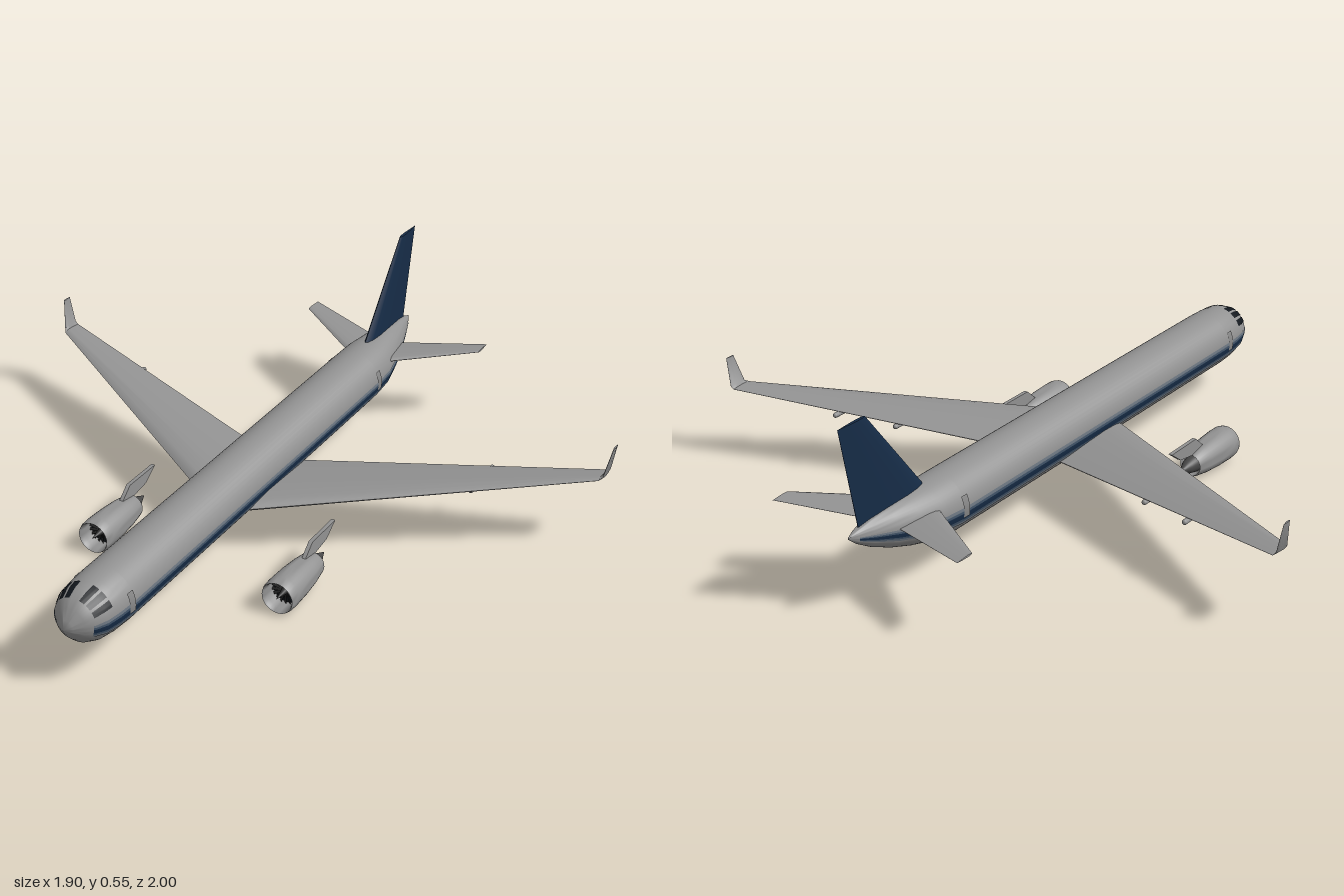
import * as THREE from 'three';
import { toCreasedNormals } from 'three/addons/utils/BufferGeometryUtils.js';

const V = (x, y, z) => new THREE.Vector3(x, y, z);
const mat = (color, side = THREE.FrontSide) => new THREE.MeshStandardMaterial({ color, side });
const grey = mat(0x929292);
const doorGrey = mat(0x868686, THREE.DoubleSide);
const navy = mat(0x162c47);
const navyPanel = mat(0x162c47, THREE.DoubleSide);
const midPanel = mat(0x43566b, THREE.DoubleSide);
const palePanel = mat(0x707a85, THREE.DoubleSide);
const darkPanel = mat(0x12171d, THREE.DoubleSide);
const dark = mat(0x2a2a2a);
const exhaustGrey = mat(0x484848);

function add(parent, name, geometry, material = grey) {
  const mesh = new THREE.Mesh(geometry, material);
  mesh.name = name;
  parent.add(mesh);
  return mesh;
}

// Skin over a row of point loops; closed lofts get end caps and face outward
function loft(sections, closed = true) {
  const n = sections[0].length, m = sections.length, pts = sections.flat();
  const tris = [];
  for (let i = 0; i < m - 1; i++) {
    for (let j = 0; j < (closed ? n : n - 1); j++) {
      const k = (j + 1) % n, a = i * n + j, b = i * n + k;
      tris.push([a, b, a + n], [b, b + n, a + n]);
    }
  }
  if (closed) {
    const e = (m - 1) * n;
    for (let j = 1; j < n - 1; j++) tris.push([0, j + 1, j], [e, e + j, e + j + 1]);
    const cross = V(0, 0, 0);
    const volume = tris.reduce((sum, [a, b, c]) => sum + pts[a].dot(cross.crossVectors(pts[b], pts[c])), 0);
    if (volume < 0) tris.forEach((t) => t.reverse());
  }
  const geometry = new THREE.BufferGeometry().setFromPoints(pts);
  geometry.setIndex(tris.flat());
  return toCreasedNormals(geometry, 0.75);
}

// Fuselage stations: z, centre height, half width, half height
const stations = [
  [0.998, 0.19, 0.003, 0.003], [0.985, 0.19, 0.022, 0.022], [0.965, 0.19, 0.047, 0.047],
  [0.945, 0.19, 0.066, 0.066], [0.91, 0.189, 0.08, 0.08], [0.86, 0.188, 0.087, 0.087],
  [0.8, 0.187, 0.09, 0.089], [-0.6, 0.187, 0.09, 0.089], [-0.68, 0.191, 0.087, 0.085],
  [-0.76, 0.2, 0.071, 0.074], [-0.83, 0.21, 0.053, 0.06], [-0.9, 0.222, 0.031, 0.04],
  [-0.95, 0.232, 0.014, 0.02], [-0.978, 0.238, 0.002, 0.003],
];

// Point on the fuselage skin; angle runs from the top toward the +x side
function skin(z, angle, offset = 0) {
  let i = 0;
  while (i < stations.length - 2 && z < stations[i + 1][0]) i++;
  const [p, q] = [stations[i], stations[i + 1]];
  const t = (p[0] - z) / (p[0] - q[0]);
  const [cy, rx, ry] = [1, 2, 3].map((k) => THREE.MathUtils.lerp(p[k], q[k], t));
  return V((rx + offset) * Math.sin(angle), cy + (ry + offset) * Math.cos(angle), z);
}

// Thin panel that follows the skin, between two stations and two angles in degrees.
// Ordered so that it faces outward on both sides of the body.
function skinPanel(z0, z1, deg0, deg1, side, offset = 0.0015) {
  const zs = [z0, ...stations.map((s) => s[0]).filter((z) => z < z0 && z > z1), z1];
  const [from, to] = side > 0 ? [deg1, deg0] : [-deg0, -deg1];
  return loft(zs.map((z) => [0, 1, 2, 3, 4].map((j) =>
    skin(z, THREE.MathUtils.degToRad(from + (to - from) * j / 4), offset))), false);
}

// Wing section between leading and trailing edge; "up" carries the thickness
const foil = [[0, 0], [0.03, 0.22], [0.12, 0.42], [0.3, 0.5], [0.6, 0.36], [0.85, 0.15], [1, 0.03]];
const foilLoop = [...foil, ...foil.slice(1).reverse().map(([c, t]) => [c, -t])];
const section = (lead, trail, up) =>
  foilLoop.map(([c, t]) => lead.clone().lerp(trail, c).addScaledVector(up, t));

function engine(side) {
  const group = new THREE.Group();
  group.name = 'engine';
  const lathe = (points) =>
    new THREE.LatheGeometry(points.map(([r, z]) => new THREE.Vector2(r, z)), 32).rotateX(Math.PI / 2);

  add(group, 'cowling', toCreasedNormals(lathe([[0.026, 0.235], [0.034, 0.215], [0.037, 0.22], [0.045, 0.27],
    [0.05, 0.33], [0.052, 0.39], [0.051, 0.415], [0.048, 0.425], [0.045, 0.42], [0.043, 0.405],
    [0.043, 0.36]]), 0.8));
  add(group, 'exhaustCone', lathe([[0.001, 0.155], [0.01, 0.178], [0.02, 0.2], [0.028, 0.24]]), exhaustGrey);
  add(group, 'fanDisc', new THREE.CircleGeometry(0.0435, 32).translate(0, 0, 0.37), darkPanel);
  add(group, 'spinner', new THREE.ConeGeometry(0.013, 0.06, 20).rotateX(Math.PI / 2).translate(0, 0, 0.4), dark);
  for (let i = 0; i < 18; i++) {
    const blade = new THREE.BoxGeometry(0.008, 0.034, 0.0015).rotateY(0.6).translate(0, 0.026, 0.376);
    add(group, 'fanBlade', blade.rotateZ(i * Math.PI / 9), dark);
  }
  // Swept pylon standing on the cowling
  const outline = [[0.1, 0.275], [0.134, 0.235], [0.134, 0.1], [0.098, 0.15], [0.085, 0.235]];
  add(group, 'pylon', loft([-0.006, 0.006].map((x) => outline.map(([y, z]) => V(x, y - 0.054, z)))));
  group.position.set(side * 0.305, 0.054, 0);
  return group;
}

export function createModel() {
  const model = new THREE.Group();
  model.name = 'airliner';

  // Body
  const sides = 48;
  add(model, 'fuselage', loft(stations.map(([z]) =>
    Array.from({ length: sides }, (_, j) => skin(z, j / sides * Math.PI * 2)))));

  // Tail fin
  add(model, 'tailFin', loft([
    section(V(0, 0.245, -0.647), V(0, 0.245, -0.937), V(0.03, 0, 0)),
    section(V(0, 0.553, -0.893), V(0, 0.553, -1), V(0.01, 0, 0)),
  ]), navy);

  for (const s of [1, -1]) {
    // Swept wing with an upturned tip
    const tip = section(V(s * 0.925, 0.221, -0.34), V(s * 0.925, 0.221, -0.412), V(0, 0.009, 0));
    add(model, 'wing', loft([
      section(V(s * 0.075, 0.142, 0.188), V(s * 0.075, 0.142, -0.134), V(0, 0.036, 0)),
      tip,
    ]));
    add(model, 'winglet', loft([
      tip,
      section(V(s * 0.934, 0.229, -0.353), V(s * 0.934, 0.229, -0.413), V(-s * 0.006, 0.006, 0)),
      section(V(s * 0.95, 0.315, -0.377), V(s * 0.95, 0.315, -0.408), V(-s * 0.005, 0, 0)),
    ]));

    // Flap fairings under the wing: x, y, front z, rear z
    for (const [x, y, z0, z1] of [[0.265, 0.144, 0, -0.16], [0.436, 0.163, -0.08, -0.255],
      [0.607, 0.182, -0.16, -0.325]]) {
      const rod = new THREE.CapsuleGeometry(0.008, z0 - z1 - 0.016, 6, 12).rotateX(Math.PI / 2);
      add(model, 'flapFairing', rod).position.set(s * x, y, (z0 + z1) / 2);
    }

    // Tailplane
    add(model, 'tailplane', loft([
      section(V(s * 0.03, 0.217, -0.66), V(s * 0.03, 0.217, -0.825), V(0, 0.016, 0)),
      section(V(s * 0.308, 0.238, -0.86), V(s * 0.308, 0.238, -0.923), V(0, 0.006, 0)),
    ]));

    model.add(engine(s));

    // Side stripe, fading into the body above and below
    for (const [a, b, material] of [[84, 90, palePanel], [90, 95, midPanel], [95, 106, navyPanel],
      [106, 111, midPanel], [111, 117, palePanel]]) {
      add(model, 'sideStripe', skinPanel(0.95, -0.95, a, b, s), material);
    }

    // Cockpit windows and doors
    for (const [a, b] of [[13, 27], [32, 46], [52, 66]]) {
      add(model, 'cockpitWindow', skinPanel(0.945, 0.885, a, b, s), darkPanel);
    }
    for (const z of [0.825, -0.585]) {
      add(model, 'door', skinPanel(z, z - 0.025, 63, 102, s, 0.004), doorGrey);
    }
  }
  return model;
}
